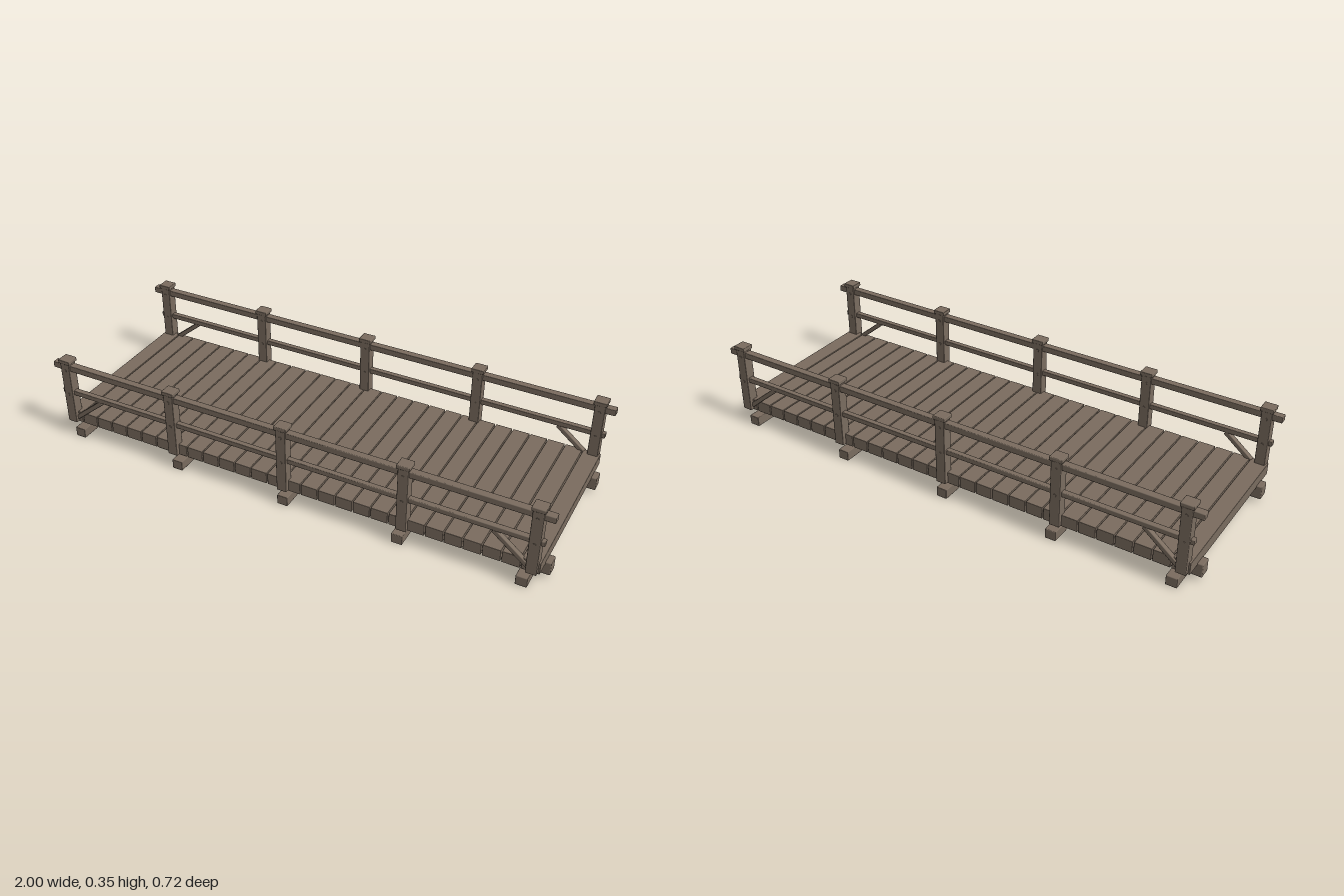
import * as THREE from 'three';
import { RoundedBoxGeometry } from 'three/addons/geometries/RoundedBoxGeometry.js';

const wood = new THREE.MeshStandardMaterial({ color: 0x7a6c5f });
wood.name = 'weathered wood';

// Timber with softly chamfered edges
function timber(parent, name, [w, h, d], [x, y, z], bevel = 0.003) {
  const mesh = new THREE.Mesh(new RoundedBoxGeometry(w, h, d, 1, bevel), wood);
  mesh.name = name;
  mesh.position.set(x, y, z);
  parent.add(mesh);
  return mesh;
}

export function createModel() {
  const bridge = new THREE.Group();
  bridge.name = 'woodenFootbridge';

  // Deck planks laid across the bridge
  const deck = new THREE.Group();
  deck.name = 'deck';
  bridge.add(deck);
  const count = 28, pitch = 1.942 / count;
  for (let i = 0; i < count; i++) {
    const x = (i - (count - 1) / 2) * pitch;
    timber(deck, 'plank', [pitch - 0.004, 0.047, 0.68], [x, 0.0865, 0], 0.002);
  }

  // Cross beams resting on the ground
  for (let i = -2; i <= 2; i++) {
    timber(bridge, 'crossBeam', [0.043, 0.039, 0.708], [i * 0.457, 0.0195, 0]);
  }

  for (const side of [1, -1]) {
    // Long beam under the deck
    timber(bridge, 'longBeam', [1.98, 0.053, 0.046], [0, 0.0445, side * 0.258], 0.004);

    // Railing along one edge
    const railing = new THREE.Group();
    railing.name = side > 0 ? 'frontRailing' : 'backRailing';
    bridge.add(railing);
    const z = side * 0.336;
    timber(railing, 'topRail', [2, 0.025, 0.029], [0, 0.312, z]);
    timber(railing, 'middleRail', [1.95, 0.02, 0.022], [0, 0.2, z]);

    // Posts with caps and pegs through the rails
    for (let i = -2; i <= 2; i++) {
      const x = i * 0.471;
      timber(railing, 'post', [0.04, 0.268, 0.041], [x, 0.2, z]);
      timber(railing, 'postCap', [0.05, 0.016, 0.049], [x, 0.339, z]);
      for (const y of [0.302, 0.195]) {
        const peg = new THREE.Mesh(new THREE.CylinderGeometry(0.006, 0.006, 0.045, 8), wood);
        peg.name = 'peg';
        peg.rotation.x = Math.PI / 2;
        peg.position.set(x, y, z);
        railing.add(peg);
      }
    }

    // Diagonal braces at the end posts
    for (const end of [1, -1]) {
      const dx = 0.132, dy = 0.108;
      const brace = timber(railing, 'brace', [Math.hypot(dx, dy), 0.018, 0.02],
        [end * 0.862, 0.136, z]);
      brace.rotation.z = -end * Math.atan2(dy, dx);
    }
  }
  return bridge;
}
